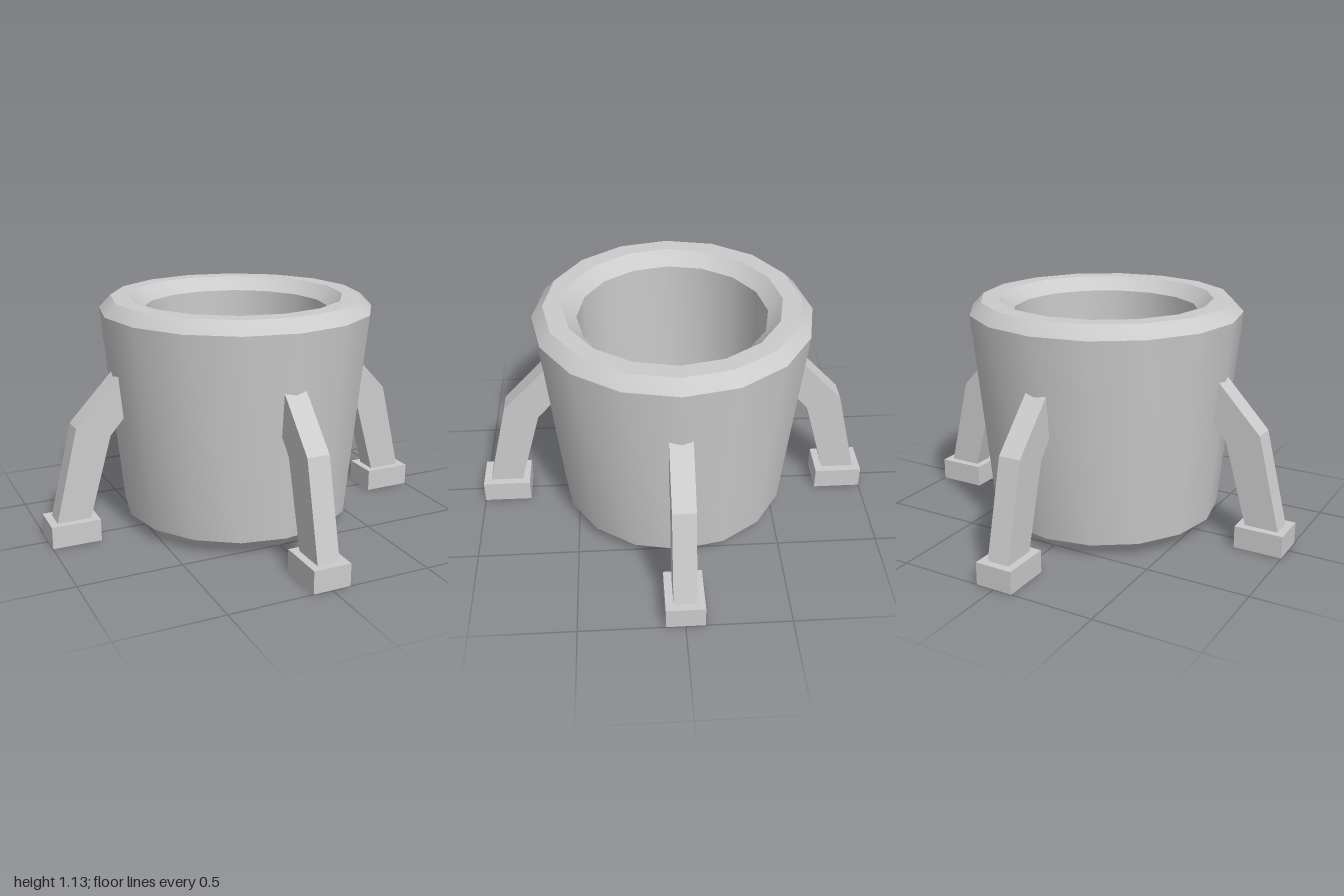
import * as THREE from 'three';
import { toCreasedNormals } from 'three/addons/utils/BufferGeometryUtils.js';

const material = new THREE.MeshStandardMaterial({ color: 0xcccccc });

function part(name, geometry) {
  const mesh = new THREE.Mesh(geometry, material);
  mesh.name = name;
  return mesh;
}

const points = (list) => list.map(([x, y]) => new THREE.Vector2(x, y));

export function createModel() {
  const model = new THREE.Group();
  model.name = 'footedPot';

  // Hollow tapered pot with chamfered base and rim, 16 sides, smooth walls
  const profile = points([
    [0, 0], [0.5, 0], [0.575, 0.065], [0.672, 1.075], [0.615, 1.135],
    [0.525, 1.135], [0.458, 1.07], [0.458, 0.07], [0, 0.07],
  ]);
  const pot = new THREE.LatheGeometry(profile, 16);
  model.add(part('pot', toCreasedNormals(pot, THREE.MathUtils.degToRad(30))));

  // Bent leg outline, its top end buried in the pot wall
  const legShape = new THREE.Shape(points([
    [0.8, 0.1], [0.965, 0.1], [0.85, 0.57], [0.55, 0.89], [0.55, 0.665], [0.683, 0.515],
  ]));
  const legGeometry = new THREE.ExtrudeGeometry(legShape, { depth: 0.11, bevelEnabled: false });
  legGeometry.translate(0, 0, -0.055);

  const footGeometry = new THREE.BoxGeometry(0.24, 0.11, 0.185);
  footGeometry.translate(0.88, 0.055, 0);

  // Four legs at quarter turns, each on a block foot
  ['left', 'back', 'right', 'front'].forEach((side, i) => {
    const support = new THREE.Group();
    support.name = `${side}Support`;
    support.add(part(`${side}Leg`, legGeometry), part(`${side}Foot`, footGeometry));
    support.rotation.y = i * Math.PI / 2;
    model.add(support);
  });

  return model;
}
